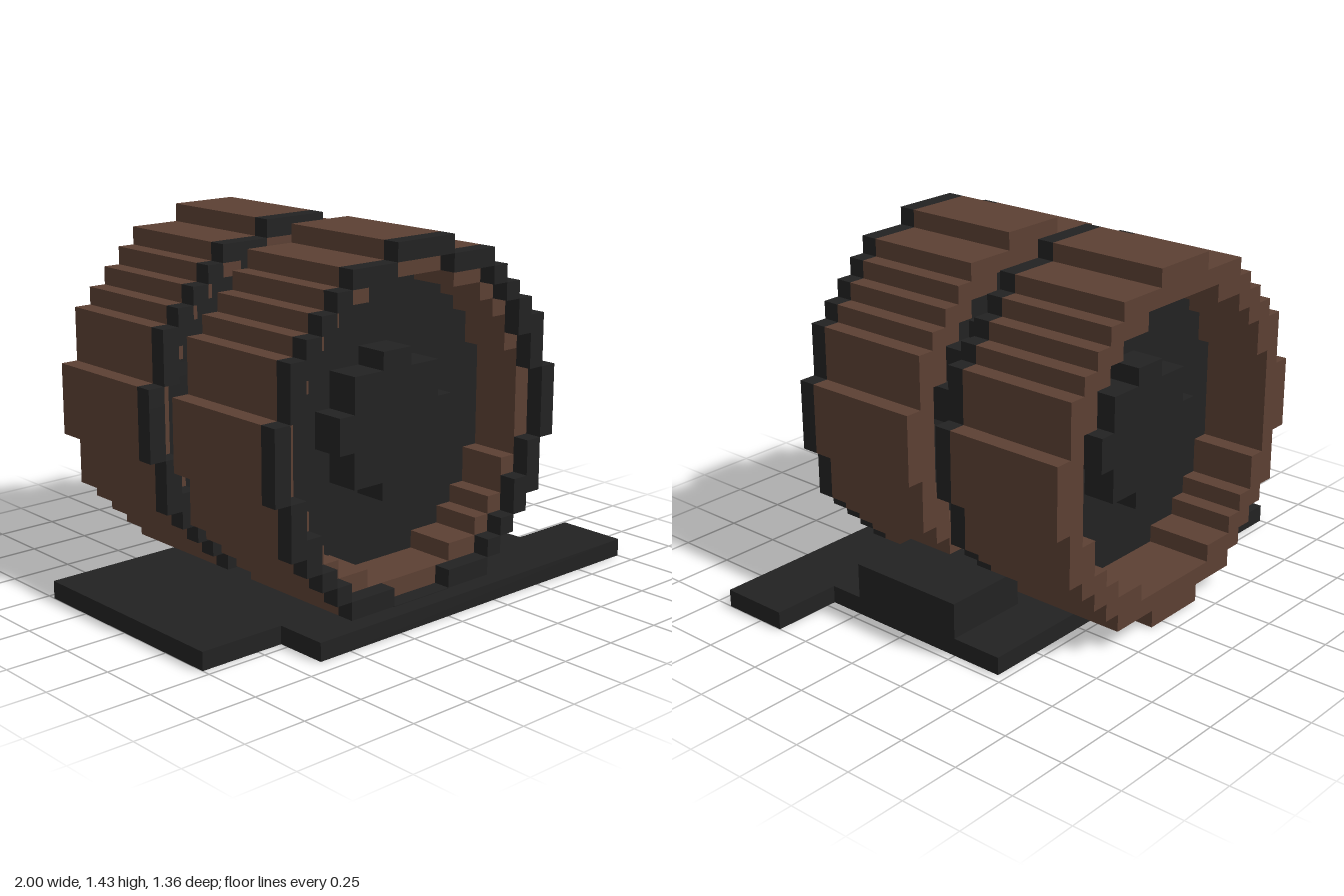
import * as THREE from 'three';
import { mergeGeometries } from 'three/addons/utils/BufferGeometryUtils.js';

const U = 2 / 28; // one block

const black = new THREE.MeshStandardMaterial({ color: 0x222222 });
black.name = 'charcoal';
const brown = new THREE.MeshStandardMaterial({ color: 0x5c4033 });
brown.name = 'brown';

// Half-widths in blocks of each row, counted from the wheel's centre outwards
const OUTLINE = [10, 10, 9, 9, 9, 8, 7, 6, 5, 2];
const RIM_HOLE = [9, 9, 8, 8, 7, 7, 6, 5, 2, 0];
const DISC = [8, 8, 8, 7, 7, 6, 5, 3];
const HUB = [4, 3, 3, 1];

// Box between two corners, in blocks
function block(x0, x1, y0, y1, z0, z1) {
  const g = new THREE.BoxGeometry(x1 - x0, y1 - y0, z1 - z0);
  g.translate((x0 + x1) / 2, (y0 + y1) / 2, (z0 + z1) / 2);
  return g.scale(U, U, U);
}

// Stepped round slab, optionally with a stepped hole
function steppedRound(outer, inner, z0, z1) {
  const parts = [];
  outer.forEach((w, i) => {
    const h = inner[i] || 0;
    for (const y of [i, -i - 1]) {
      if (h === 0) parts.push(block(-w, w, y, y + 1, z0, z1));
      else {
        parts.push(block(h, w, y, y + 1, z0, z1));
        parts.push(block(-w, -h, y, y + 1, z0, z1));
      }
    }
  });
  return mergeGeometries(parts);
}

function part(name, geometry, material) {
  const mesh = new THREE.Mesh(geometry, material);
  mesh.name = name;
  return mesh;
}

// Wheel, centred on its own axis, with the dark rim on the +z side
function createWheel(name) {
  const wheel = new THREE.Group();
  wheel.name = name;
  wheel.add(
    part('tread', steppedRound(OUTLINE, DISC, -4, 3), brown),
    part('rim', steppedRound(OUTLINE, RIM_HOLE, 3, 4), black),
    part('disc', steppedRound(DISC, [], -0.1, 0.1), black),
    part('hub', steppedRound(HUB, [], -2, 2), black)
  );
  return wheel;
}

export function createModel() {
  const model = new THREE.Group();
  model.name = 'twinWheels';

  // Two identical wheels, one behind the other
  [['frontWheel', 4.5], ['rearWheel', -5.5]].forEach(([name, z]) => {
    const wheel = createWheel(name);
    wheel.position.set(-U, 10 * U + 0.003, z * U);
    model.add(wheel);
  });

  // Flat base in two overlapping slabs, with a chock beside the wheels
  model.add(
    part('mainBase', block(-14, 10, 0, 1, -6.5, 6.5), black),
    part('frontBase', block(-9, 14, 0, 1, 5.5, 9.5), black),
    part('chock', block(5, 10, 1, 3, -3.5, 3.5), black)
  );
  return model;
}
